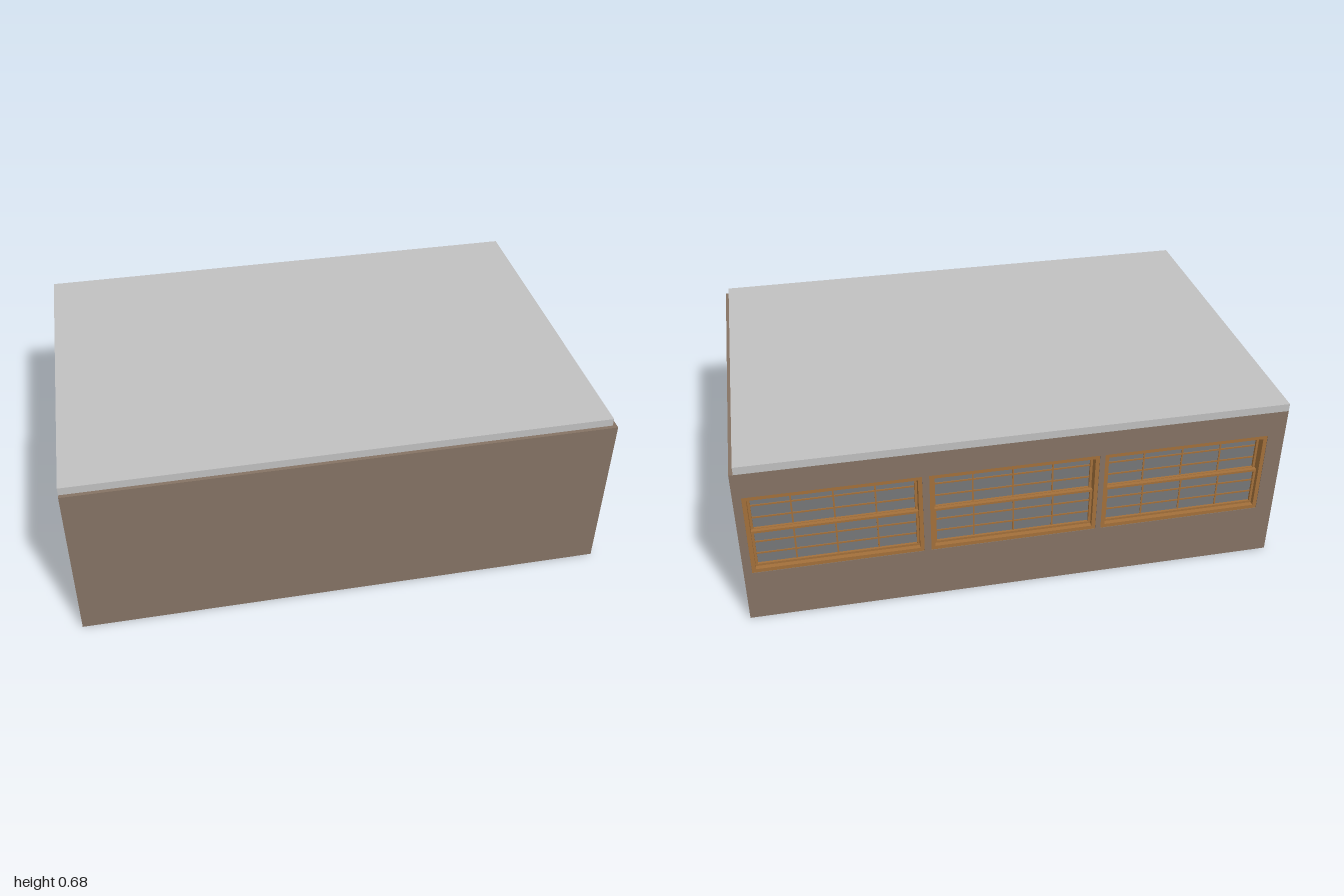
import * as THREE from 'three';

const mat = (name, color, side = THREE.FrontSide) => {
  const m = new THREE.MeshStandardMaterial({ color, side });
  m.name = name;
  return m;
};
const W = 1, D = 0.677, H = 0.645, T = 0.06; // half width, half depth, wall height, wall thickness

// Rectangle outline given by its corners
const rect = (C, x0, y0, x1, y1) => {
  const s = new C();
  s.moveTo(x0, y0).lineTo(x1, y0).lineTo(x1, y1).lineTo(x0, y1).closePath();
  return s;
};

export function createModel() {
  const model = new THREE.Group();
  model.name = 'building';
  const wallMat = mat('brown wall', 0x857364);
  const roofMat = mat('grey roof', 0xc0c0c0);
  const woodMat = mat('wood frame', 0xa3703a);
  const glassMat = mat('grey glass', 0x767778);

  const add = (parent, name, geo, material, x = 0, y = 0, z = 0) => {
    const m = new THREE.Mesh(geo, material);
    m.name = name;
    m.position.set(x, y, z);
    parent.add(m);
    return m;
  };
  const box = (parent, name, material, x0, y0, x1, y1, z0, z1) =>
    add(parent, name, new THREE.BoxGeometry(x1 - x0, y1 - y0, z1 - z0), material,
      (x0 + x1) / 2, (y0 + y1) / 2, (z0 + z1) / 2);

  // Rectangular ring, its face at z = front
  const ring = (parent, name, [x0, y0, x1, y1], t, front, depth) => {
    const s = rect(THREE.Shape, x0, y0, x1, y1);
    s.holes.push(rect(THREE.Path, x0 + t, y0 + t, x1 - t, y1 - t));
    add(parent, name, new THREE.ExtrudeGeometry(s, { depth, bevelEnabled: false }), woodMat, 0, 0, front - depth);
  };

  // Wall facing local +z, outer face at z = 0, with rectangular openings
  const wall = (name, halfWidth, openings, rotation, x, z) => {
    const g = new THREE.Group();
    g.name = name;
    g.rotation.y = rotation;
    g.position.set(x, 0, z);
    model.add(g);
    const s = rect(THREE.Shape, -halfWidth, 0, halfWidth, H);
    openings.forEach(o => s.holes.push(rect(THREE.Path, ...o)));
    add(g, name + 'Panel', new THREE.ExtrudeGeometry(s, { depth: T, bevelEnabled: false }), wallMat, 0, 0, -T);
    return g;
  };

  // Sash: ring, pane and a lattice of thin bars
  const sash = (parent, r, t, front, cols, rows) => {
    const [x0, y0, x1, y1] = r;
    ring(parent, 'sash', r, t, front, 0.014);
    const pane = front - 0.009;
    box(parent, 'glass', glassMat, x0 + t, y0 + t, x1 - t, y1 - t, pane - 0.004, pane);
    for (let i = 1; i < cols; i++) {
      const x = x0 + (x1 - x0) * i / cols;
      box(parent, 'verticalBar', woodMat, x - 0.003, y0 + t, x + 0.003, y1 - t, pane, pane + 0.003);
    }
    for (let i = 1; i < rows; i++) {
      const y = y0 + (y1 - y0) * i / rows;
      box(parent, 'horizontalBar', woodMat, x0 + t, y - 0.003, x1 - t, y + 0.003, pane, pane + 0.003);
    }
  };

  // Double-hung window, the lower sash in front of the upper one
  const hungWindow = (parent, name, o, rows) => {
    const g = new THREE.Group();
    g.name = name;
    parent.add(g);
    const t = 0.015, [x0, y0, x1, y1] = o, mid = (y0 + y1) / 2;
    ring(g, 'frame', o, t, -0.002, 0.055);
    sash(g, [x0 + t, mid - 0.004, x1 - t, y1 - t], 0.009, -0.034, 4, rows);
    sash(g, [x0 + t, y0 + t, x1 - t, mid + 0.004], 0.009, -0.019, 4, rows);
  };

  // Front wall, blank
  wall('frontWall', W, [], 0, 0, D);

  // Back wall with a row of three windows
  const backOpenings = [-0.97, -0.325, 0.315].map(x => [x, 0.21, x + 0.62, 0.545]);
  const back = wall('backWall', W, backOpenings, Math.PI, 0, -D);
  backOpenings.forEach(o => hungWindow(back, 'backWindow', o, 3));

  // Side wall with one tall window
  const side = [0.022, 0.07, 0.598, 0.553];
  const windowWall = wall('windowWall', D - T, [side], Math.PI / 2, W, 0);
  hungWindow(windowWall, 'sideWindow', side, 4);

  // Opposite side wall with a three-panel glass door
  const door = [-0.475, 0.04, 0.535, 0.632];
  const doorWall = wall('doorWall', D - T, [door], -Math.PI / 2, -W, 0);
  const doorGroup = new THREE.Group();
  doorGroup.name = 'glassDoor';
  doorWall.add(doorGroup);
  ring(doorGroup, 'doorFrame', door, 0.014, -0.002, 0.055);
  [-0.461, -0.19, 0.235, 0.521].forEach((x, i, a) => {
    if (i < 3) sash(doorGroup, [x, 0.054, a[i + 1], 0.618], 0.014, -0.018, 1, 1);
  });

  // Floor, and roof slab flush with the back and door sides
  add(model, 'floor', new THREE.BoxGeometry(2 * (W - T), 0.02, 2 * (D - T)), wallMat, 0, 0.01, 0);
  add(model, 'roof', new THREE.BoxGeometry(1.985, 0.03, 1.34), roofMat, -0.0075, H + 0.015, -0.007);

  return model;
}
